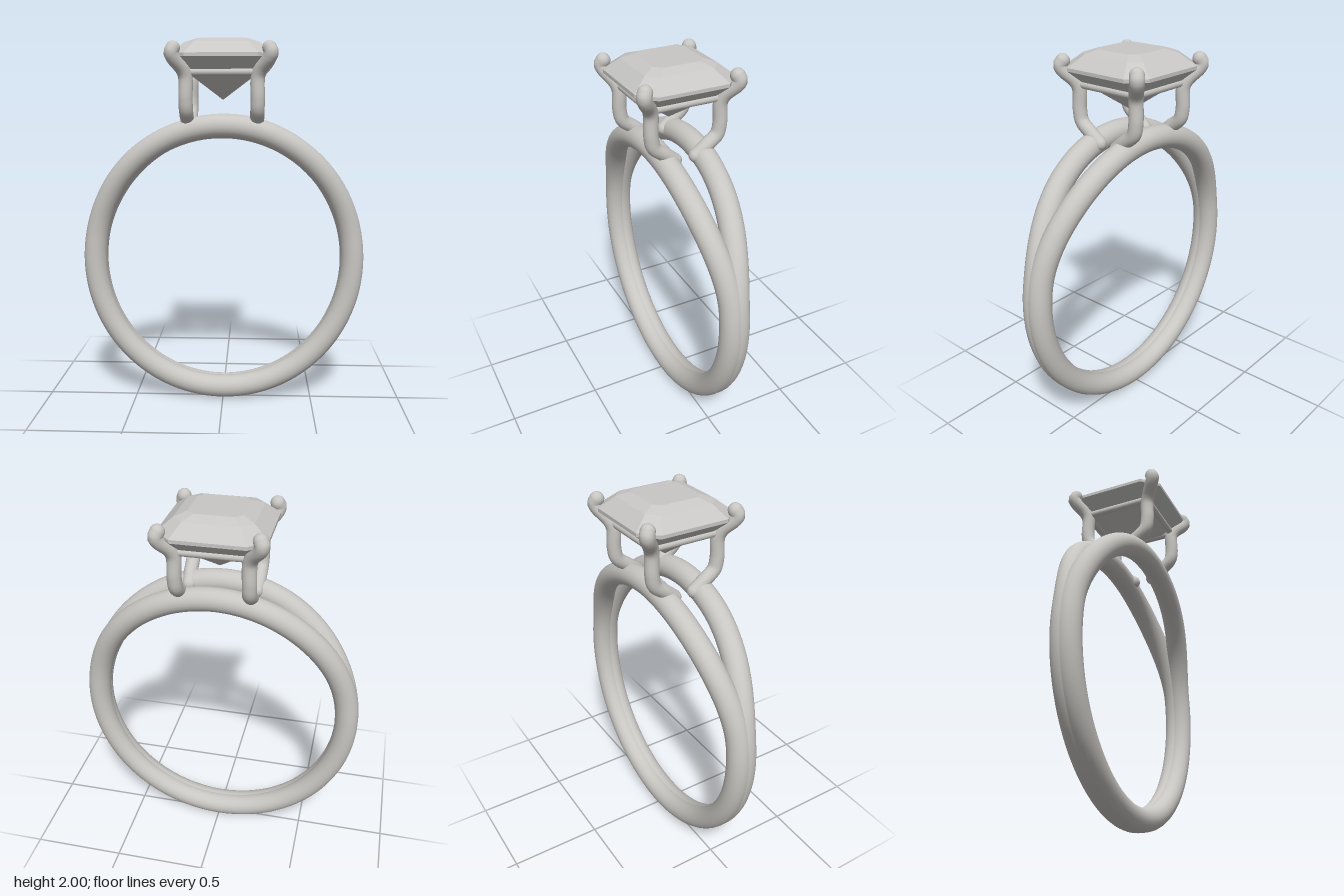
import * as THREE from 'three';

const metal = new THREE.MeshStandardMaterial({ color: 0xc8c6c2 });
metal.name = 'polished metal';
const stone = new THREE.MeshStandardMaterial({ color: 0xc8c7c5 });
stone.name = 'cut stone';

const V = (x, y, z) => new THREE.Vector3(x, y, z);

function add(parent, name, geometry, material) {
  const mesh = new THREE.Mesh(geometry, material);
  mesh.name = name;
  parent.add(mesh);
  return mesh;
}

// One strand of the split shank: an oval loop that swings sideways near the top
function strand(side) {
  const points = [];
  const n = 64;
  for (let i = 0; i < n; i++) {
    const a = (i / n) * Math.PI * 2 - Math.PI / 2;
    const y = 0.805 + 0.742 * Math.sin(a);
    const spread = 0.015 + 0.097 * THREE.MathUtils.smoothstep(y, 0.93, 1.63);
    points.push(V(0.715 * Math.cos(a), y, side * spread));
  }
  return new THREE.TubeGeometry(new THREE.CatmullRomCurve3(points, true), 160, 0.063, 24, true);
}

// Prong: rises from inside a strand, bends upright, then grips the stone's corner
function prong(sx, sz) {
  const group = new THREE.Group();
  group.name = 'prong';
  const r = 0.037;
  const points = [
    [0.18, 1.535, 0.06], [0.184, 1.58, 0.115], [0.185, 1.63, 0.175], [0.186, 1.69, 0.189],
    [0.186, 1.8, 0.189], [0.2, 1.84, 0.203], [0.243, 1.895, 0.243],
    [0.252, 1.92, 0.252], [0.243, 1.942, 0.243],
  ].map(([x, y, z]) => V(sx * x, y, sz * z));
  const curve = new THREE.CatmullRomCurve3(points, false, 'centripetal');
  add(group, 'prongStem', new THREE.TubeGeometry(curve, 48, r, 16), metal);
  for (const [name, p] of [['prongFoot', points[0]], ['prongTip', points[points.length - 1]]]) {
    add(group, name, new THREE.SphereGeometry(r, 16, 12), metal).position.copy(p);
  }
  return group;
}

// Step-cut stone built from stacked square outlines with clipped corners
function stoneGeometry() {
  // height, half width, half length of the straight edge
  const levels = [
    [2.0, 0.135, 0.1], [1.978, 0.195, 0.14], [1.918, 0.27, 0.185],
    [1.9, 0.27, 0.185], [1.84, 0.2, 0.155], [1.685, 0, 0],
  ];
  const rings = levels.map(([y, h, c]) => [
    V(h, y, c), V(h, y, -c), V(c, y, -h), V(-c, y, -h),
    V(-h, y, -c), V(-h, y, c), V(-c, y, h), V(c, y, h),
  ]);
  const out = [];
  const tri = (...corners) => corners.forEach((p) => out.push(p.x, p.y, p.z));
  // table
  for (let i = 1; i < 7; i++) tri(rings[0][0], rings[0][i], rings[0][i + 1]);
  // crown, girdle and pavilion facets
  for (let k = 0; k < rings.length - 1; k++) {
    for (let i = 0; i < 8; i++) {
      const j = (i + 1) % 8;
      const [a, b, c, d] = [rings[k][i], rings[k + 1][i], rings[k + 1][j], rings[k][j]];
      tri(a, b, d);
      if (k < rings.length - 2) tri(b, c, d);
    }
  }
  const geometry = new THREE.BufferGeometry();
  geometry.setAttribute('position', new THREE.Float32BufferAttribute(out, 3));
  geometry.computeVertexNormals();
  return geometry;
}

export function createModel() {
  const model = new THREE.Group();
  model.name = 'ring';

  add(model, 'frontStrand', strand(1), metal);
  add(model, 'backStrand', strand(-1), metal);

  const setting = new THREE.Group();
  setting.name = 'setting';
  model.add(setting);
  for (const sx of [-1, 1]) for (const sz of [-1, 1]) setting.add(prong(sx, sz));

  // Square rail joining the prongs under the stone
  for (let i = 0; i < 4; i++) {
    const bar = new THREE.CylinderGeometry(0.02, 0.02, 0.376, 16);
    bar.rotateZ(Math.PI / 2).translate(0, 1.825, 0.188).rotateY((i * Math.PI) / 2);
    add(setting, 'railBar', bar, metal);
  }

  add(model, 'stone', stoneGeometry(), stone);
  return model;
}
